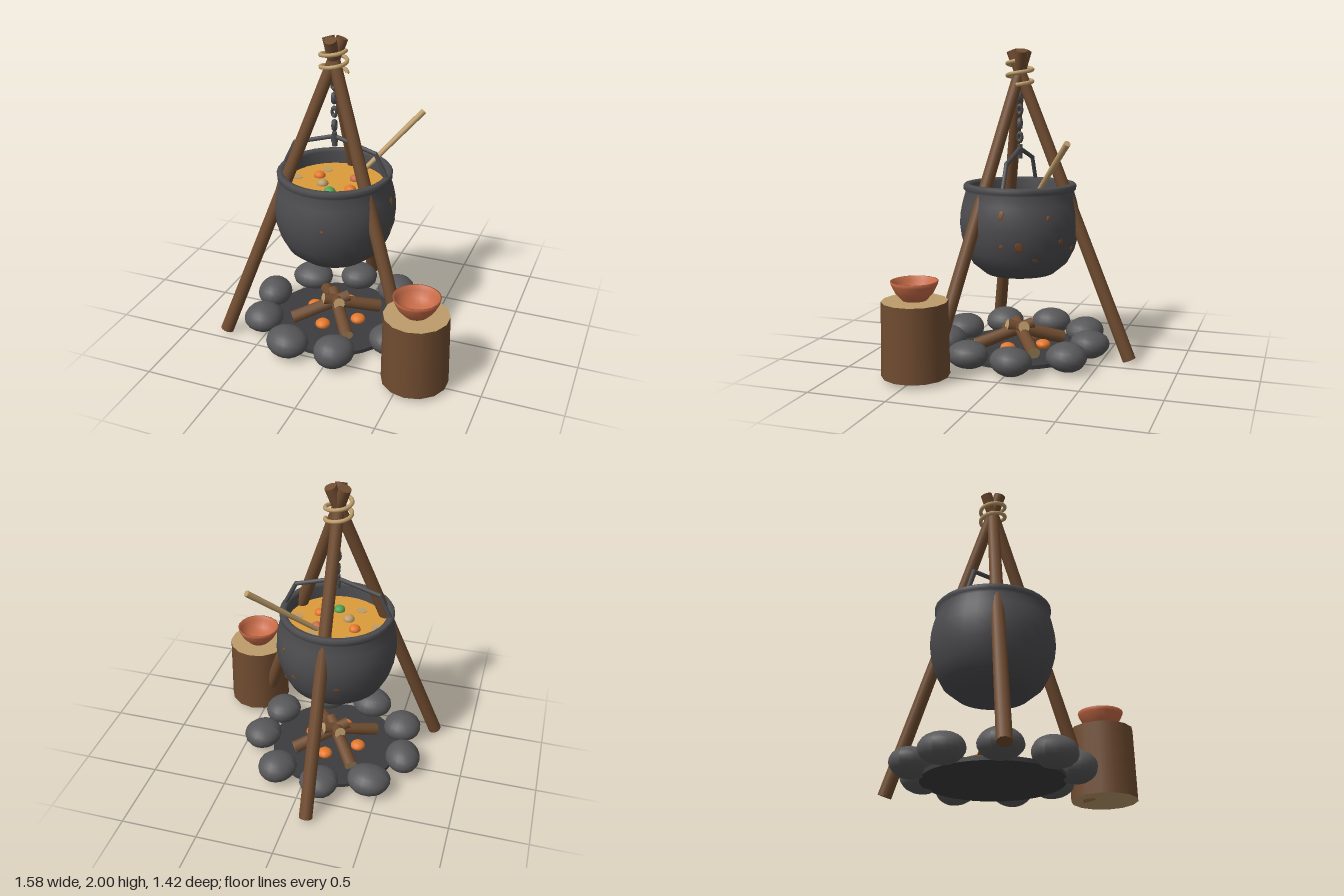
import * as THREE from 'three';

const mat = (name, color, side = THREE.FrontSide) => {
  const m = new THREE.MeshStandardMaterial({ color, side });
  m.name = name;
  return m;
};
const V = (x, y, z) => new THREE.Vector3(x, y, z);

export function createModel() {
  const iron = mat('iron', 0x4d4d50), wood = mat('bark', 0x704c30);
  const cut = mat('cutWood', 0xbd9c6a), stone = mat('stone', 0x58585a);
  const ember = mat('ember', 0xe5782a), stew = mat('stew', 0xdc9c3a);
  const clay = mat('clay', 0xc96c48, THREE.DoubleSide), green = mat('herb', 0x4fa355);
  const rust = mat('rust', 0x7d4c2a), ash = mat('ash', 0x3c3c3e);

  const root = new THREE.Group();
  root.name = 'campfireCauldron';
  // Everything but the stump is laid out around the cauldron's axis
  const camp = new THREE.Group();
  camp.name = 'camp';
  camp.position.set(-0.115, 0, 0.06);
  root.add(camp);

  const add = (name, geo, material, pos = V(0, 0, 0), parent = camp) => {
    const m = new THREE.Mesh(geo, material);
    m.name = name;
    m.position.copy(pos);
    parent.add(m);
    return m;
  };
  // Tapered round bar from a to b
  const bar = (name, a, b, ra, rb, material, sides = 12) => {
    const d = b.clone().sub(a);
    const m = add(name, new THREE.CylinderGeometry(rb, ra, d.length(), sides), material,
      a.clone().add(b).multiplyScalar(0.5));
    m.quaternion.setFromUnitVectors(V(0, 1, 0), d.normalize());
    return m;
  };
  const blob = (name, pos, sx, sy, sz, material, w = 16, h = 10) => {
    const m = add(name, new THREE.SphereGeometry(1, w, h), material, pos);
    m.scale.set(sx, sy, sz);
    return m;
  };

  // Tripod legs crossing at the top
  for (let i = 0; i < 3; i++) {
    const a = Math.PI + i * Math.PI * 2 / 3, s = Math.sin(a), c = Math.cos(a);
    bar('tripodLeg', V(s * 0.735, 0.025, c * 0.735), V(-s * 0.052, 1.985, -c * 0.052), 0.044, 0.038, wood);
  }

  // Rope lashing, two helical turns
  const helix = [];
  for (let i = 0; i <= 32; i++) {
    const t = i / 32, a = Math.PI * (0.5 + 4 * t);
    helix.push(V(Math.sin(a) * 0.08, 1.77 + 0.15 * t, Math.cos(a) * 0.08));
  }
  add('ropeLashing', new THREE.TubeGeometry(new THREE.CatmullRomCurve3(helix), 72, 0.013, 8), cut);

  // Chain
  for (let i = 0; i < 5; i++) {
    const link = add('chainLink', new THREE.TorusGeometry(0.017, 0.0105, 6, 10), iron, V(0, 1.7 - i * 0.088, 0));
    link.scale.set(0.9, 1.5, 1.5);
    link.rotation.y = i % 2 ? Math.PI / 2 : 0;
  }
  bar('chainHook', V(0, 1.3, 0), V(0, 1.39, 0), 0.018, 0.018, iron, 8);

  // Cauldron shell: outer wall, rolled rim, inner wall
  const outer = [[0.225, 0.555], [0.31, 0.625], [0.355, 0.71], [0.38, 0.8], [0.39, 0.88],
    [0.386, 0.95], [0.372, 1.02], [0.352, 1.09]];
  const profile = [[0, 0.555], ...outer, [0.364, 1.105], [0.366, 1.13], [0.355, 1.142], [0.33, 1.142],
    [0.318, 1.125], [0.318, 1.02]];
  add('cauldron', new THREE.LatheGeometry(profile.map(p => new THREE.Vector2(...p)), 32), iron);

  // Rust spots lying on the outer wall
  const wall = y => {
    const i = Math.max(1, outer.findIndex(p => p[1] >= y));
    const [r0, y0] = outer[i - 1], [r1, y1] = outer[i];
    return { r: r0 + (r1 - r0) * (y - y0) / (y1 - y0), n: [y1 - y0, r0 - r1] };
  };
  const spots = [[90, 0.98, 0.017, 0.03], [90, 0.78, 0.014, 0.016], [107, 0.78, 0.024, 0.036],
    [124, 0.69, 0.014, 0.02], [10, 0.89, 0.01, 0.01], [150, 0.8, 0.018, 0.022],
    [172, 0.74, 0.015, 0.02], [195, 0.78, 0.014, 0.022], [135, 0.96, 0.012, 0.018]];
  for (const [deg, y, w, h] of spots) {
    const a = deg * Math.PI / 180, { r, n } = wall(y);
    const m = blob('rustSpot', V(Math.sin(a) * r, y, Math.cos(a) * r), w, h, 0.004, rust, 10, 6);
    m.quaternion.setFromUnitVectors(V(0, 0, 1), V(Math.sin(a) * n[0], n[1], Math.cos(a) * n[0]).normalize());
  }

  // Bail handle with straight bends
  const bends = [[-0.35, 1.12], [-0.27, 1.285], [0, 1.365], [0.27, 1.285], [0.35, 1.12]].map(p => V(...p, 0));
  bends.forEach((p, i) => {
    if (i) bar('handleSection', bends[i - 1], p, 0.014, 0.014, iron, 8);
    blob('handleJoint', p, 0.015, 0.015, 0.015, iron, 8, 6);
  });

  // Stew, vegetables and pale floating slices
  add('stewSurface', new THREE.CylinderGeometry(0.318, 0.318, 0.02, 32), stew, V(0, 1.035, 0));
  for (const [x, z, m] of [[-0.13, -0.06, ember], [0.13, 0.07, ember], [0.105, -0.09, clay],
    [0.02, 0.14, green], [-0.066, 0.046, cut]]) {
    blob('vegetable', V(x, 1.05, z), 0.038, 0.03, 0.038, m, 10, 7);
  }
  for (const [x, z] of [[-0.12, -0.175], [0.12, -0.175], [-0.12, 0.175], [0.12, 0.175], [-0.26, 0], [0.26, 0]]) {
    add('floatingSlice', new THREE.CylinderGeometry(0.034, 0.034, 0.006, 14), cut, V(x, 1.045, z));
  }
  bar('ladleHandle', V(0.09, 1.04, -0.115), V(0.44, 1.435, -0.435), 0.015, 0.02, cut, 10);

  // Fire pit: ash bed, ring of stones, logs and embers
  add('ashBed', new THREE.CylinderGeometry(0.43, 0.43, 0.025, 32), ash, V(0, 0.038, 0));
  const stones = [[-0.015, -0.47, 0.128, 0.128], [-0.32, -0.36, 0.142, 0.128], [-0.49, -0.075, 0.115, 0.135],
    [-0.42, 0.245, 0.13, 0.135], [-0.155, 0.45, 0.142, 0.132], [0.165, 0.45, 0.132, 0.132],
    [0.44, 0.2, 0.12, 0.13], [0.49, -0.1, 0.122, 0.13], [0.295, -0.395, 0.125, 0.128]];
  stones.forEach(([x, z, rx, rz], i) => {
    const m = blob('ringStone', V(x, 0.1, z), rx, 0.088 + (i % 3) * 0.003, rz, stone, 18, 12);
    // Uneven, rounded surface
    const p = m.geometry.attributes.position;
    for (let k = 0; k < p.count; k++) {
      const X = p.getX(k), Y = p.getY(k), Z = p.getZ(k);
      const f = 1 + 0.045 * Math.sin(2.2 * X + i * 1.7) * Math.cos(2.5 * Z + i) + 0.02 * Math.sin(3 * Y + i);
      p.setXYZ(k, X * f, Y * f, Z * f);
    }
    m.geometry.computeVertexNormals();
  });
  for (let i = 0; i < 4; i++) {
    const a = 0.61 + i * Math.PI / 2, s = Math.sin(a), c = Math.cos(a);
    bar('fireLog', V(s * 0.3, 0.085, c * 0.3), V(-s * 0.09, 0.2, -c * 0.09), 0.043, 0.039, [wood, cut, cut], 10);
    const e = a + Math.PI / 4;
    blob('ember', V(Math.sin(e) * 0.17, 0.085, Math.cos(e) * 0.17), 0.05, 0.032, 0.05, ember, 12, 8);
  }

  // Stump seat with a clay bowl
  const stump = new THREE.Group();
  stump.name = 'stump';
  stump.position.set(0.58, 0, 0.5);
  root.add(stump);
  add('stumpLog', new THREE.CylinderGeometry(0.202, 0.209, 0.46, 14), [wood, cut, cut], V(0, 0.26, 0), stump);
  const bowl = [[0, 0.5], [0.075, 0.5], [0.115, 0.545], [0.14, 0.595], [0.146, 0.617], [0.136, 0.617],
    [0.126, 0.59], [0.1, 0.545], [0.06, 0.52], [0, 0.515]];
  add('bowl', new THREE.LatheGeometry(bowl.map(p => new THREE.Vector2(...p)), 20), clay, V(0, -0.005, 0), stump);

  return root;
}
